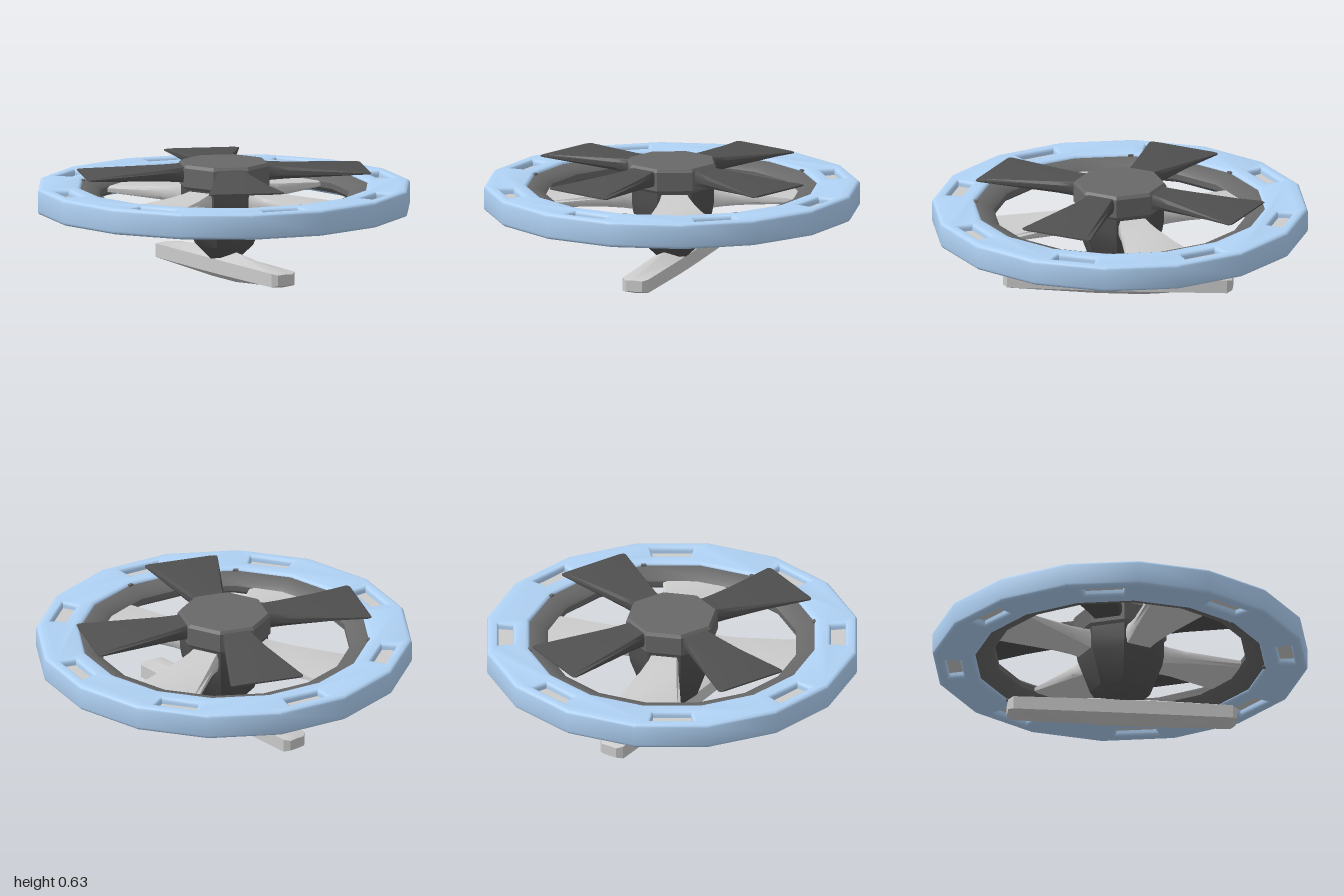
import * as THREE from 'three';
import { toCreasedNormals } from 'three/addons/utils/BufferGeometryUtils.js';

const rad = THREE.MathUtils.degToRad;
const mat = (color) => new THREE.MeshStandardMaterial({ color });
const grey = mat(0xcccccc), blue = mat(0xb0d2f5), dark = mat(0x505050), darkGrey = mat(0x686868);

function add(parent, name, geometry, material) {
  const mesh = new THREE.Mesh(geometry, material);
  mesh.name = name;
  parent.add(mesh);
  return mesh;
}

// Faceted solid of revolution, profile running counter-clockwise in (radius, y)
function lathe(points, sides, crease = 0.6) {
  const profile = points.map(([r, y]) => new THREE.Vector2(r, y));
  return toCreasedNormals(new THREE.LatheGeometry(profile, sides), crease);
}

// Skin cross-sections along z; each station is [z, [[x, y], ...]]
function loft(stations, crease = 0.6) {
  const pos = [], idx = [], n = stations[0][1].length, last = (stations.length - 1) * n;
  for (const [z, ring] of stations) for (const [x, y] of ring) pos.push(x, y, z);
  for (let s = 0; s < last; s += n) {
    for (let i = 0; i < n; i++) {
      const a = s + i, b = s + (i + 1) % n;
      idx.push(a, b, b + n, a, b + n, a + n);
    }
  }
  for (let i = 1; i < n - 1; i++) idx.push(0, i + 1, i, last, last + i, last + i + 1);
  const g = new THREE.BufferGeometry();
  g.setAttribute('position', new THREE.Float32BufferAttribute(pos, 3));
  g.setIndex(idx);
  return toCreasedNormals(g, crease);
}

// Flat section with rounded edges
const bladeSection = (w, h) => [
  [w, -h * 0.45], [w, h * 0.45], [w * 0.88, h], [-w * 0.88, h],
  [-w, h * 0.45], [-w, -h * 0.45], [-w * 0.88, -h], [w * 0.88, -h],
];

// Hexagonal section with ridges along top and bottom
const barSection = (w, edge, ridge) => [
  [w, -edge], [w, edge], [0, ridge], [-w, edge], [-w, -edge], [0, -ridge],
];

// Four fan blades widening outwards
function bladeSet(name, geometry, material, y, startDeg) {
  const group = new THREE.Group();
  group.name = name;
  for (let k = 0; k < 4; k++) {
    const blade = add(group, 'blade', geometry, material);
    blade.position.y = y;
    blade.rotation.y = rad(startDeg + 90 * k);
  }
  return group;
}

const polygon = (r, n) => Array.from({ length: n }, (_, i) =>
  new THREE.Vector2(r * Math.cos((i * 2 * Math.PI) / n), r * Math.sin((i * 2 * Math.PI) / n)));

// Trapezoid window outline centred on one ring facet
function windowOutline(k, grow = 0) {
  const r0 = 0.843 - grow, r1 = 0.92 + grow, w0 = 0.1 + grow, w1 = 0.112 + grow;
  return [[r0, -w0], [r1, -w1], [r1, w1], [r0, w0]].map(([x, y]) =>
    new THREE.Vector2(x, y).rotateAround(new THREE.Vector2(), rad(33.75 + 45 * k)));
}

// Upright slab standing from y0
function slab(shape, y0, options) {
  const g = new THREE.ExtrudeGeometry(shape, options);
  g.rotateX(-Math.PI / 2).translate(0, y0, 0);
  return toCreasedNormals(g, 0.6);
}

export function createModel() {
  const model = new THREE.Group();
  model.name = 'fanDisc';

  // Outer ring with eight windows
  const ring = new THREE.Shape(polygon(1, 16));
  ring.holes.push(new THREE.Path(polygon(0.77, 16)));
  for (let k = 0; k < 8; k++) ring.holes.push(new THREE.Path(windowOutline(k)));
  const b = 0.02;
  add(model, 'outerRing', slab(ring, 0.37 + b, {
    depth: 0.14 - 2 * b, bevelEnabled: true, bevelThickness: b,
    bevelSize: b, bevelOffset: -b, bevelSegments: 3,
  }), blue);

  // Recessed panels in the windows
  for (let k = 0; k < 8; k++) {
    const panel = new THREE.Shape(windowOutline(k, 0.006));
    add(model, 'windowPanel', slab(panel, 0.405, { depth: 0.07, bevelEnabled: false }), grey);
  }

  // Inner rim
  add(model, 'innerRim', lathe([
    [0.785, 0.385], [0.785, 0.495], [0.755, 0.495], [0.69, 0.475], [0.67, 0.455],
    [0.67, 0.425], [0.69, 0.405], [0.755, 0.385], [0.785, 0.385],
  ], 16), darkGrey);

  // Small pegs around the rim (none at the back)
  for (let k = 0; k < 8; k++) {
    if (k === 4) continue;
    const peg = add(model, 'rimPeg', new THREE.BoxGeometry(0.028, 0.13, 0.04), darkGrey);
    const a = rad(45 * k);
    peg.position.set(0.78 * Math.sin(a), 0.44, 0.78 * Math.cos(a));
    peg.rotation.y = a;
  }

  // Octagonal cap and tapering lower hub
  add(model, 'hubCap', lathe([
    [0, 0.5], [0.235, 0.5], [0.248, 0.515], [0.248, 0.615], [0.235, 0.632], [0, 0.632],
  ], 8), darkGrey);
  add(model, 'lowerHub', lathe([
    [0, 0.1], [0.075, 0.11], [0.16, 0.19], [0.225, 0.365], [0.235, 0.42], [0.235, 0.51], [0, 0.51],
  ], 8), dark);

  // Upper rotor blades
  const upper = loft([
    [0.2, bladeSection(0.076, 0.045)],
    [0.25, bladeSection(0.083, 0.038)],
    [0.33, bladeSection(0.102, 0.031)],
    [0.745, bladeSection(0.202, 0.007)],
    [0.76, bladeSection(0.193, 0.004)],
  ]);
  model.add(bladeSet('upperBlades', upper, dark, 0.577, 67.5));

  // Lower fixed blades joining hub and rim
  const lower = loft([
    [0.2, bladeSection(0.076, 0.055)],
    [0.26, bladeSection(0.085, 0.045)],
    [0.35, bladeSection(0.106, 0.034)],
    [0.69, bladeSection(0.188, 0.014)],
  ]);
  model.add(bladeSet('lowerBlades', lower, grey, 0.44, 22.5));

  // Ridged bar beneath the hub
  const bar = add(model, 'lowerBar', loft([
    [-0.6, barSection(0.045, 0.028, 0.03)],
    [-0.575, barSection(0.073, 0.036, 0.042)],
    [-0.12, barSection(0.08, 0.038, 0.08)],
    [0.12, barSection(0.08, 0.038, 0.08)],
    [0.595, barSection(0.073, 0.036, 0.042)],
    [0.62, barSection(0.045, 0.028, 0.03)],
  ]), grey);
  bar.position.y = 0.08;

  return model;
}
